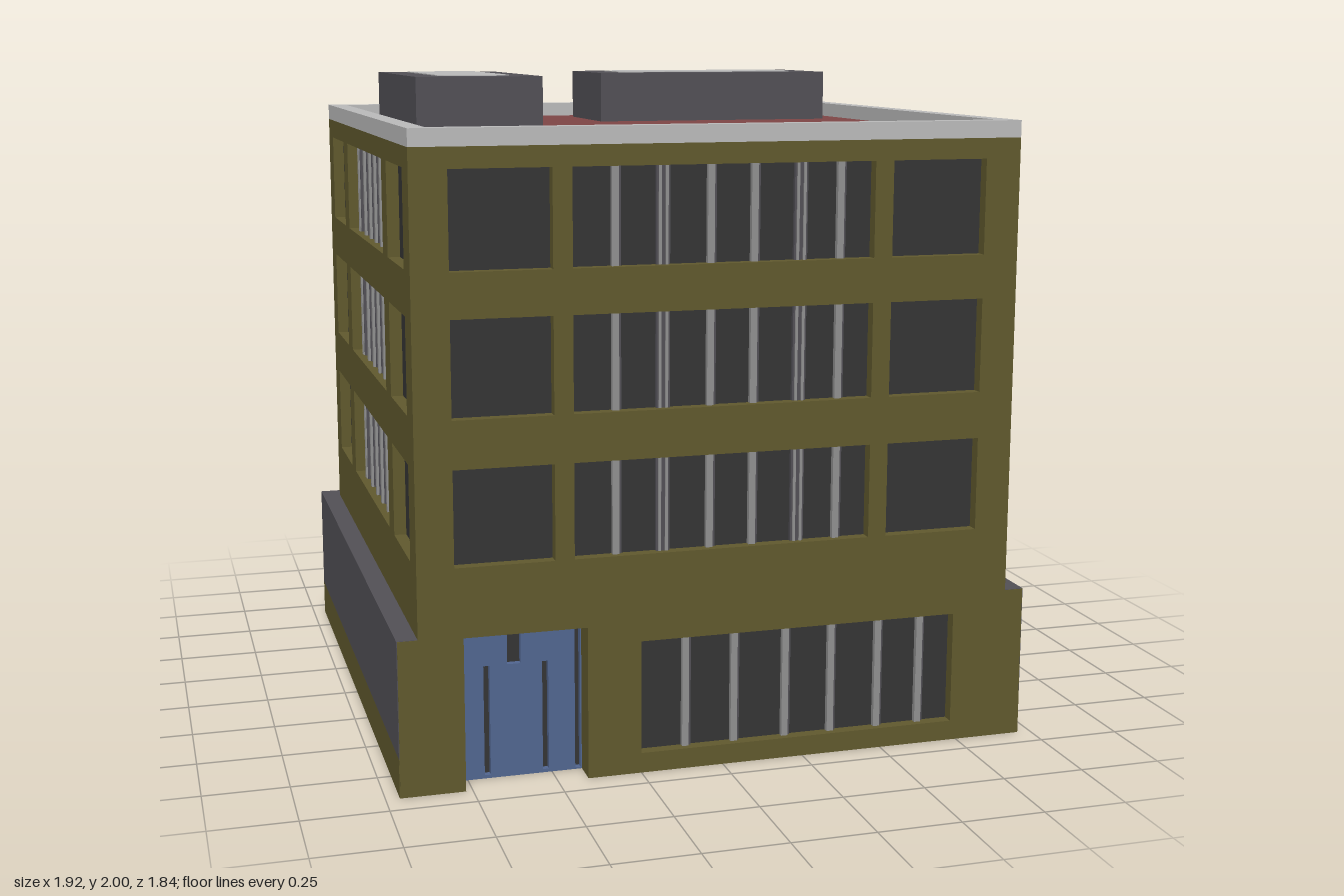
import * as THREE from 'three';

const mat = (name, color, side = THREE.FrontSide) =>
  Object.assign(new THREE.MeshStandardMaterial({ color, side }), { name });

const M = {
  wall: mat('olive wall', 0x5f582d),
  grey: mat('dark grey cladding', 0x514f55),
  glass: mat('dark glass', 0x343434),
  light: mat('light grey trim', 0xb9b9b9),
  bar: mat('window bar grey', 0x8e8e8e),
  roof: mat('red roof', 0x7d4545),
  door: mat('blue door', 0x50658f),
};

const DEPTH = 0.04; // wall thickness

function add(parent, name, geometry, material) {
  const mesh = new THREE.Mesh(geometry, material);
  mesh.name = name;
  parent.add(mesh);
  return mesh;
}

// Box given by its limits on each axis
function box(parent, name, material, x0, x1, y0, y1, z0, z1) {
  const mesh = add(parent, name, new THREE.BoxGeometry(x1 - x0, y1 - y0, z1 - z0), material);
  mesh.position.set((x0 + x1) / 2, (y0 + y1) / 2, (z0 + z1) / 2);
  return mesh;
}

const corners = (x0, x1, y0, y1) =>
  [[x0, y0], [x1, y0], [x1, y1], [x0, y1]].map(([x, y]) => new THREE.Vector2(x, y));

// Slab with rectangular holes, its outer face at z = 0
function slab(outline, holes, depth) {
  const shape = new THREE.Shape(outline);
  holes.forEach((h) => shape.holes.push(new THREE.Path(corners(...h))));
  return new THREE.ExtrudeGeometry(shape, { depth, bevelEnabled: false }).translate(0, 0, -depth);
}

function pane(parent, [x0, x1, y0, y1]) {
  box(parent, 'windowPane', M.glass, x0, x1, y0, y1, -DEPTH - 0.002, -DEPTH + 0.004);
}

// Upright window bars; wide ones are dark with two light edges
function bars(parent, xs, wide, y0, y1) {
  xs.forEach((x, i) => {
    const z0 = -DEPTH + 0.004;
    if (wide.includes(i)) {
      box(parent, 'wideBar', M.grey, x - 0.02, x + 0.02, y0, y1, z0, z0 + 0.012);
      for (const s of [-0.01, 0.01])
        box(parent, 'barEdge', M.bar, x + s - 0.004, x + s + 0.004, y0, y1, z0, z0 + 0.016);
    } else {
      box(parent, 'windowBar', M.bar, x - 0.01, x + 0.01, y0, y1, z0, z0 + 0.016);
      box(parent, 'barShade', M.grey, x + 0.01, x + 0.018, y0, y1, z0, z0 + 0.008);
    }
  });
}

// Upper wall: three storeys, each with one wide and two small windows
function upperWall(name, width, half, inner, outer, barXs, wide) {
  const wall = new THREE.Group();
  wall.name = name;
  const openings = [];
  for (const y of [0.66, 1.08, 1.49]) {
    openings.push([-half, half, y, y + 0.28], [inner, outer, y, y + 0.28], [-outer, -inner, y, y + 0.28]);
    bars(wall, barXs, wide, y, y + 0.28);
  }
  add(wall, 'wallPanel', slab(corners(-width / 2, width / 2, 0.46, 1.83), openings, DEPTH), M.wall);
  openings.forEach((o) => pane(wall, o));
  return wall;
}

// Roof unit with a light, corner-cut panel on top
function roofUnit(parent, x0, x1, z0, z1, [a, b, c, d]) {
  const unit = new THREE.Group();
  unit.name = 'roofUnit';
  parent.add(unit);
  box(unit, 'roofUnitBody', M.grey, x0, x1, 1.83, 1.997, z0, z1);
  const k = 0.018;
  const outline = [[a + k, c], [b - k, c], [b, c + k], [b, d - k], [b - k, d], [a + k, d], [a, d - k], [a, c + k]]
    .map(([x, z]) => new THREE.Vector2(x, -z)).reverse();
  const top = add(unit, 'roofUnitPanel', slab(outline, [], 0.005), M.light);
  top.rotation.x = -Math.PI / 2;
  top.position.y = 2;
}

export function createModel() {
  const model = new THREE.Group();
  model.name = 'officeBuilding';
  const ZC = 0.0325;

  // Upper storeys
  const longBars = [-0.32, -0.18, -0.04, 0.09, 0.23, 0.35];
  const sideBars = [-0.28, -0.155, -0.035, 0.08, 0.195, 0.31];
  for (const [name, turn] of [['frontWall', 0], ['backWall', 2]]) {
    const wall = upperWall(name, 1.8, 0.447, 0.503, 0.793, longBars, [1, 4]);
    wall.rotation.y = turn * Math.PI / 2;
    wall.position.z = turn ? -0.855 : 0.92;
    model.add(wall);
  }
  for (const s of [1, -1]) {
    const wall = upperWall(s > 0 ? 'leftWall' : 'rightWall', 1.775, 0.388, 0.483, 0.783, sideBars, [0]);
    wall.rotation.y = s * Math.PI / 2;
    wall.position.set(s * 0.9, 0, ZC);
    model.add(wall);
  }

  // Ground floor front with door notch and shop window
  const ground = new THREE.Group();
  ground.name = 'groundFront';
  ground.position.z = 0.92;
  model.add(ground);
  const L = -0.77, R = -0.41, T = 0.455;
  const outline = [[-0.958, 0], [L, 0], [L, T], [R, T], [R, 0], [0.958, 0], [0.958, 0.46], [-0.958, 0.46]]
    .map(([x, y]) => new THREE.Vector2(x, y));
  const shop = [-0.25, 0.73, 0.06, 0.4];
  add(ground, 'groundWall', slab(outline, [shop], DEPTH), M.wall);
  pane(ground, shop);
  bars(ground, [-0.11, 0.04, 0.2, 0.345, 0.495, 0.63], [], 0.06, 0.4);

  // Recessed entrance
  box(ground, 'entranceSide', M.wall, L - 0.02, L, 0, T, -0.11, -DEPTH);
  box(ground, 'entranceSide', M.wall, R, R + 0.02, 0, T, -0.11, -DEPTH);
  box(ground, 'entranceCeiling', M.wall, L, R, T, T + 0.005, -0.11, -DEPTH);
  const slits = [[-0.7, -0.682, 0.01, 0.34], [-0.527, -0.509, 0.01, 0.34],
    [-0.63, -0.59, 0.34, 0.45], [-0.43, -0.414, 0.005, 0.45]];
  const door = add(ground, 'door', slab(corners(L, R, 0, T), slits, 0.03), M.door);
  door.position.z = -0.08;
  box(ground, 'doorSlits', M.glass, L + 0.01, R - 0.002, 0.003, T - 0.003, -0.106, -0.1);

  // Base walls: grey band over an olive plinth, with a ledge on top
  const base = new THREE.Group();
  base.name = 'base';
  model.add(base);
  for (const [name, m, y0, y1] of [['plinth', M.wall, 0, 0.115], ['greyBand', M.grey, 0.115, 0.455]]) {
    box(base, name, m, 0.94, 0.96, y0, y1, -0.92, 0.918);
    box(base, name, m, -0.96, -0.94, y0, y1, -0.92, 0.918);
    box(base, name, m, -0.94, 0.94, y0, y1, -0.92, -0.9);
  }
  box(base, 'ledge', M.grey, 0.88, 0.96, 0.451, 0.461, -0.92, 0.918);
  box(base, 'ledge', M.grey, -0.96, -0.88, 0.451, 0.461, -0.92, 0.918);
  box(base, 'ledge', M.grey, -0.88, 0.88, 0.451, 0.461, -0.92, -0.835);

  // Roof and parapet
  box(model, 'roof', M.roof, -0.86, 0.86, 1.82, 1.835, -0.82, 0.88);
  const parapet = add(model, 'parapet',
    slab(corners(-0.9, 0.9, -0.92, 0.855), [[-0.843, 0.843, -0.863, 0.803]], 0.05), M.light);
  parapet.rotation.x = -Math.PI / 2;
  parapet.position.y = 1.88;

  // Roof units
  roofUnit(model, -0.745, -0.345, -0.68, 0.12, [-0.66, -0.43, -0.59, 0.03]);
  roofUnit(model, -0.05, 0.75, -0.69, -0.29, [0.04, 0.66, -0.6, -0.375]);

  return model;
}
